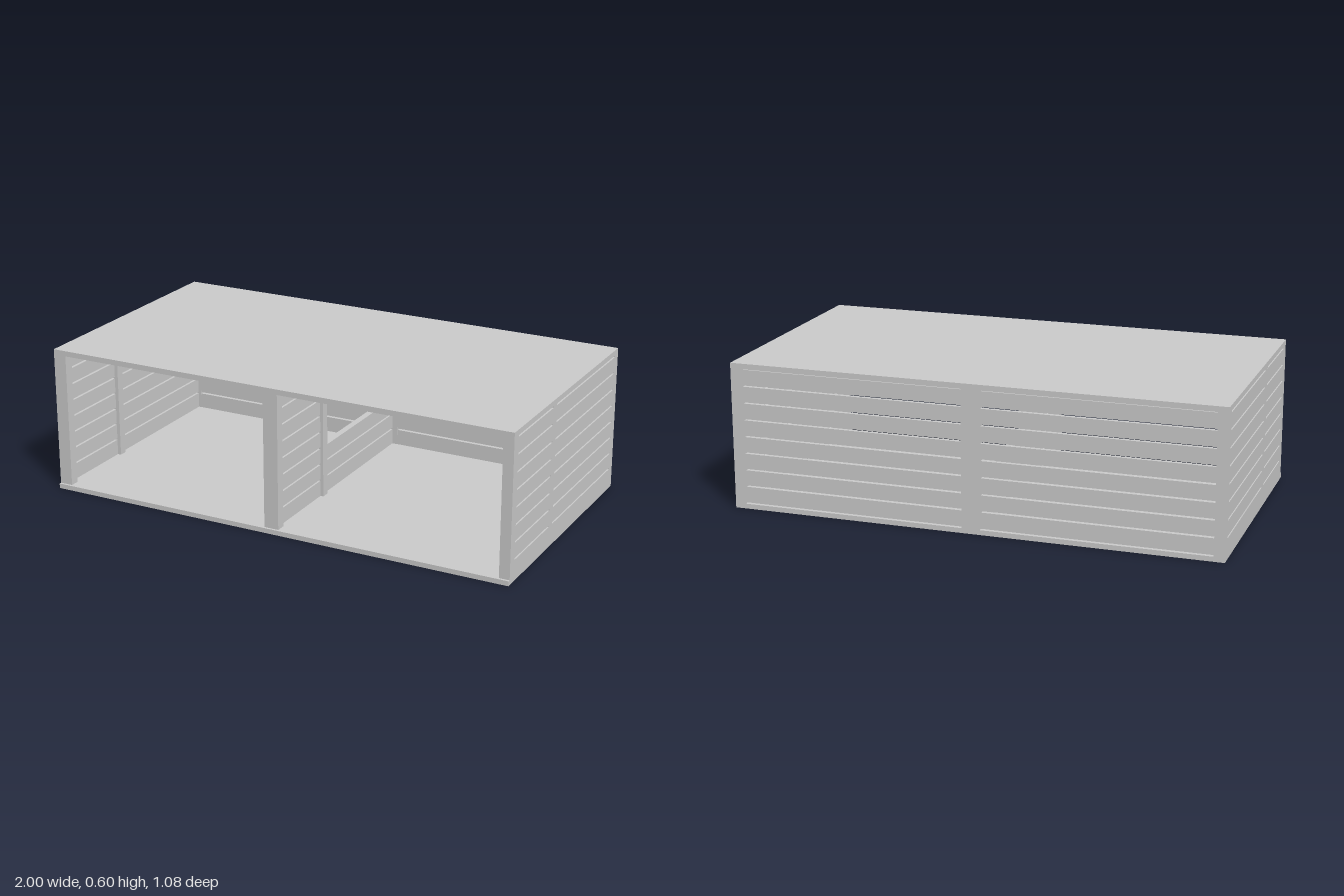
import * as THREE from 'three';

const material = new THREE.MeshStandardMaterial({ color: 0xcccccc, flatShading: true });

const FLOOR_TOP = 0.02, ROOF_BOTTOM = 0.578;
const PITCH = 0.0693, GAP = 0.007, SLATS = 8;
const FRONT = 0.53, BACK = -0.54;

// Box given by its extents along each axis
function addBox(parent, name, [x0, x1], [y0, y1], [z0, z1]) {
  const mesh = new THREE.Mesh(new THREE.BoxGeometry(x1 - x0, y1 - y0, z1 - z0), material);
  mesh.position.set((x0 + x1) / 2, (y0 + y1) / 2, (z0 + z1) / 2);
  mesh.name = name;
  parent.add(mesh);
}

// Stack of horizontal boards with narrow gaps, the last gap sitting under the roof
function addSlats(parent, name, x, z, count = SLATS) {
  const group = new THREE.Group();
  group.name = name;
  for (let i = 0; i < count; i++) {
    const top = ROOF_BOTTOM - GAP - (SLATS - 1 - i) * PITCH;
    const bottom = i === 0 ? FLOOR_TOP : top - PITCH + GAP;
    addBox(group, 'slat', x, [bottom, top], z);
  }
  parent.add(group);
}

export function createModel() {
  const model = new THREE.Group();
  model.name = 'slattedShelter';

  // Floor with a small front lip, and flat roof
  addBox(model, 'floor', [-1, 1], [0, FLOOR_TOP], [BACK, 0.54]);
  addBox(model, 'roof', [-1, 1], [ROOF_BOTTOM, 0.6], [BACK, FRONT]);

  // Three rows of posts: front, intermediate and back
  const rows = [
    { name: 'frontPost', z: [0.49, FRONT], xs: [[-1, -0.945], [-0.035, 0.027], [0.957, 1]] },
    { name: 'middlePost', z: [0.12, 0.155], xs: [[-1, -0.955], [-0.03, 0.025], [0.957, 1]] },
    { name: 'backPost', z: [BACK, -0.505], xs: [[-1, -0.957], [-0.037, 0.037], [0.957, 1]] },
  ];
  for (const row of rows)
    for (const x of row.xs) addBox(model, row.name, x, [FLOOR_TOP, ROOF_BOTTOM], row.z);

  // Side walls and central divider; the divider is low in its rear bay
  const frontBay = [0.155, 0.49], rearBay = [-0.505, 0.12];
  const walls = [
    { name: 'rightWall', x: [-1, -0.97], rear: SLATS },
    { name: 'divider', x: [-0.015, 0.012], rear: 3 },
    { name: 'leftWall', x: [0.97, 1], rear: SLATS },
  ];
  for (const wall of walls) {
    addSlats(model, wall.name + 'Front', wall.x, frontBay);
    addSlats(model, wall.name + 'Rear', wall.x, rearBay, wall.rear);
  }

  // Back wall boards, set in from the outer face of the posts
  addSlats(model, 'backWallRight', [-0.957, -0.037], [-0.523, -0.506]);
  addSlats(model, 'backWallLeft', [0.037, 0.957], [-0.523, -0.506]);

  return model;
}
